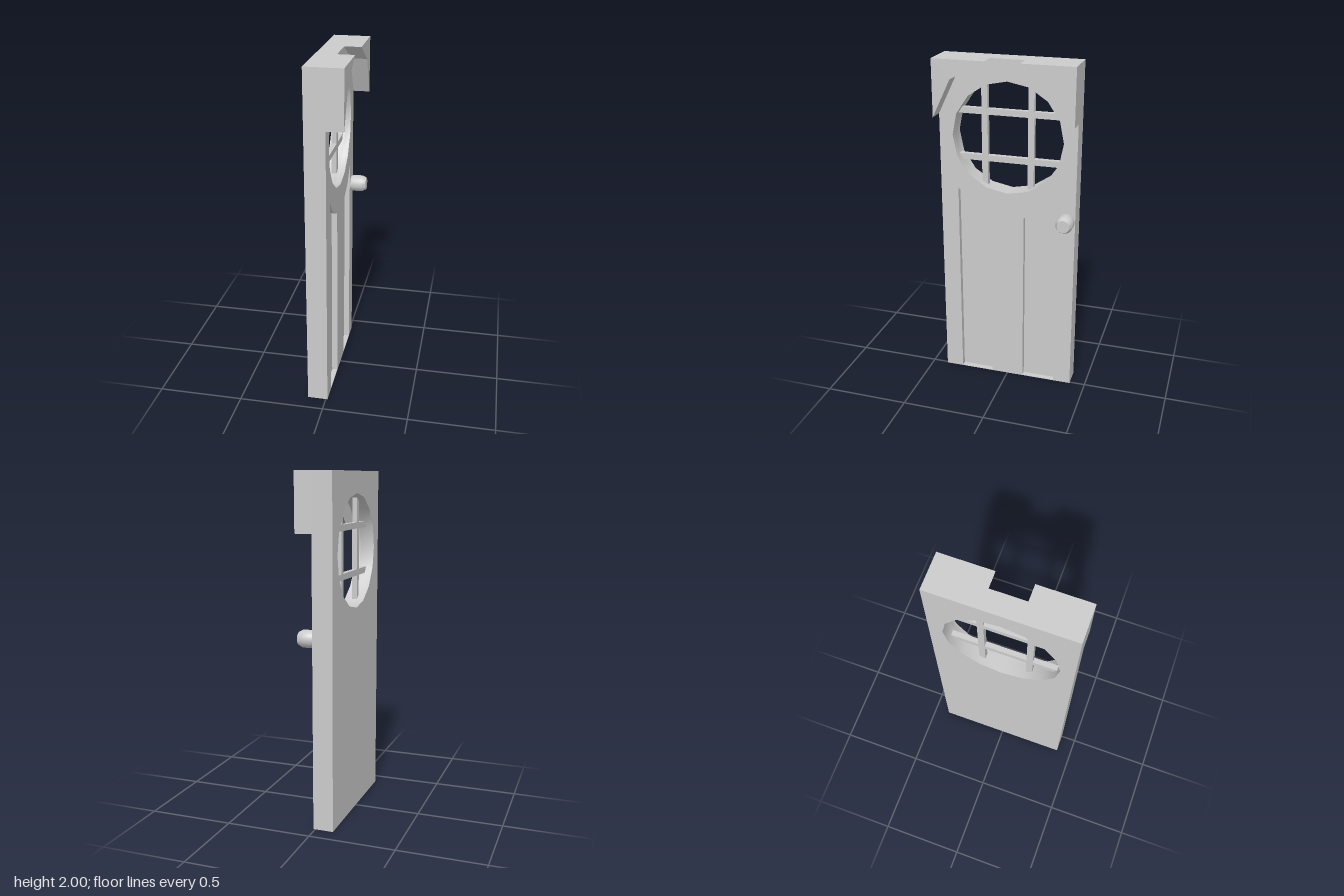
import * as THREE from 'three';
import { toCreasedNormals } from 'three/addons/utils/BufferGeometryUtils.js';

const BACK = -0.108, RECESS = -0.023, FACE = 0.01, RAISED = 0.107;
const HALF_WIDTH = 0.406, HEIGHT = 2, WINDOW_Y = 1.55, WINDOW_R = 0.327;

export function createModel() {
  const door = new THREE.Group();
  door.name = 'door';
  const material = new THREE.MeshStandardMaterial({ color: 0xcccccc });

  const add = (name, geometry, x = 0, y = 0, z = 0) => {
    const mesh = new THREE.Mesh(geometry, material);
    mesh.name = name;
    mesh.position.set(x, y, z);
    door.add(mesh);
    return mesh;
  };
  const points = (list) => list.map(([u, y]) => new THREE.Vector2(u, y));

  // Extrudes a (-z, y) outline along x, from x0 to x1
  const slab = (name, outline, holes, x0, x1) => {
    const shape = new THREE.Shape(points(outline));
    shape.holes = holes.map((h) => new THREE.Path(points(h)));
    const geometry = new THREE.ExtrudeGeometry(shape, { depth: x1 - x0, bevelEnabled: false });
    geometry.rotateY(Math.PI / 2);
    add(name, toCreasedNormals(geometry, 0.42), x0);
  };

  const leaf = [[-HALF_WIDTH, 0], [HALF_WIDTH, 0], [HALF_WIDTH, HEIGHT], [-HALF_WIDTH, HEIGHT]];

  // Sixteen-sided round window
  const porthole = Array.from({ length: 16 }, (_, i) => {
    const a = (i / 16) * Math.PI * 2;
    return [Math.cos(a) * WINDOW_R, WINDOW_Y + Math.sin(a) * WINDOW_R];
  });

  // Sunken panels, curved around the window at the top
  const panel = (s) => [[0.1, 0.003], [0.3, 0.003], [0.3, 1.23], [0.22, 1.14], [0.1, 1.08]]
    .map(([u, y]) => [s * u, y]);

  slab('doorBack', leaf, [porthole], BACK, RECESS);
  slab('doorFront', leaf, [porthole, panel(1), panel(-1)], RECESS, FACE);

  // Raised blocks in the two upper corners
  for (const s of [-1, 1]) {
    const corner = [[HALF_WIDTH, 1.67], [HALF_WIDTH, HEIGHT], [0.1, HEIGHT], [0.3, 1.89]]
      .map(([u, y]) => [s * u, y]);
    slab(s < 0 ? 'leftCornerBlock' : 'rightCornerBlock', corner, [], FACE, RAISED);
  }

  // Window bars, each long enough to reach the rim
  const BAR = 0.036, BAR_X = -0.05;
  for (const z of [0.148, -0.127])
    add('verticalBar', new THREE.BoxGeometry(0.03, 0.62, BAR), BAR_X, WINDOW_Y, z);
  for (const y of [1.688, 1.412])
    add('horizontalBar', new THREE.BoxGeometry(0.03, BAR, 0.63), BAR_X, y, 0);

  // Door knob
  const profile = points([[0, 0], [0.043, 0], [0.05, 0.018], [0.05, 0.07], [0.037, 0.095], [0, 0.095]]);
  const knob = new THREE.LatheGeometry(profile, 24);
  add('knob', toCreasedNormals(knob, 0.6), FACE, 1.095, -0.356).rotation.z = -Math.PI / 2;

  return door;
}
